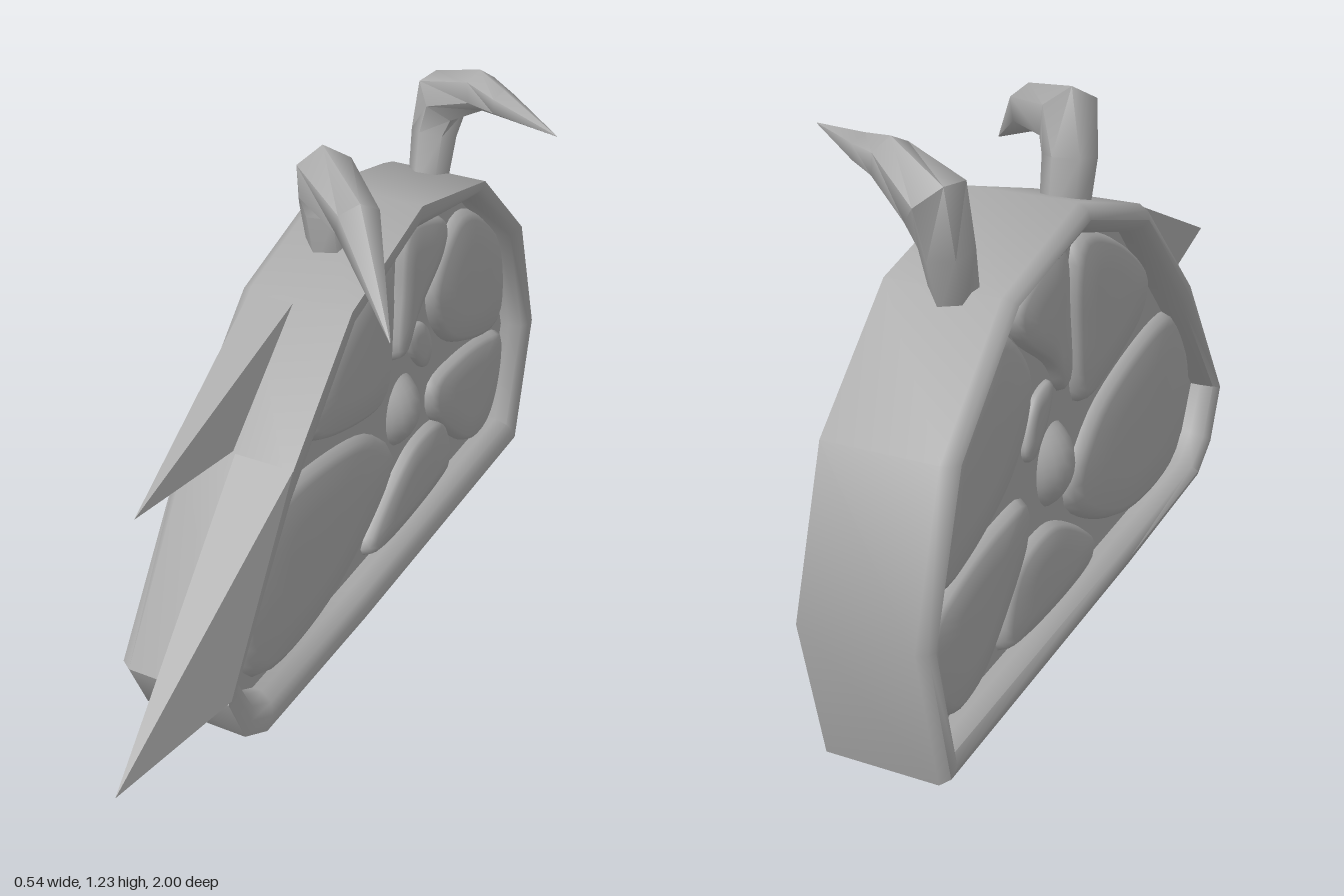
import * as THREE from 'three';
import { toCreasedNormals } from 'three/addons/utils/BufferGeometryUtils.js';

const MID = -0.13; // middle of the slice's thickness

// Skin a list of equal-length rings; ring points run counter-clockwise about the loft direction.
function loft(rings, { wrap = false, crease = 0.9 } = {}) {
  const n = rings[0].length, pos = [], index = [];
  rings.forEach(r => r.forEach(p => pos.push(p.x, p.y, p.z)));
  const spans = wrap ? rings.length : rings.length - 1;
  for (let i = 0; i < spans; i++) {
    const a0 = i * n, b0 = ((i + 1) % rings.length) * n;
    for (let j = 0; j < n; j++) {
      const k = (j + 1) % n;
      index.push(a0 + j, a0 + k, b0 + k, a0 + j, b0 + k, b0 + j);
    }
  }
  if (!wrap) {
    [0, rings.length - 1].forEach(i => {
      const c = rings[i].reduce((s, p) => s.add(p), new THREE.Vector3()).divideScalar(n);
      const ci = pos.length / 3;
      pos.push(c.x, c.y, c.z);
      for (let j = 0; j < n; j++) {
        const a = i * n + j, b = i * n + (j + 1) % n;
        if (i === 0) index.push(ci, b, a); else index.push(ci, a, b);
      }
    });
  }
  const g = new THREE.BufferGeometry();
  g.setAttribute('position', new THREE.Float32BufferAttribute(pos, 3));
  g.setIndex(index);
  return toCreasedNormals(g, crease);
}

// Outlines as [z, y]
const OUTER = [[-0.26, 1.02], [0.09, 0.91], [0.4, 0.62], [0.67, 0.22], [0.61, 0.08], [0.515, 0.02],
  [0.03, 0.003], [-0.917, 0], [-1, 0.35], [-0.885, 0.695], [-0.623, 0.936]];
const INNER = [[-0.26, 0.95], [0.06, 0.85], [0.345, 0.555], [0.6, 0.245], [0.54, 0.13], [0.46, 0.08],
  [0, 0.075], [-0.87, 0.075], [-0.94, 0.35], [-0.825, 0.685], [-0.59, 0.9]];

const CELLS = [
  [[0.43, 0.51], [0.33, 0.545], [-0.07, 0.475], [-0.19, 0.39], [-0.24, 0.33], [-0.22, 0.27], [0.1, 0.1], [0.44, 0.1], [0.515, 0.185], [0.54, 0.29]],
  [[0.22, 0.68], [0.17, 0.74], [-0.02, 0.865], [-0.19, 0.915], [-0.22, 0.85], [-0.22, 0.715], [-0.19, 0.53], [-0.135, 0.51], [0.17, 0.595], [0.215, 0.645]],
  [[-0.285, 0.935], [-0.39, 0.925], [-0.515, 0.86], [-0.495, 0.795], [-0.34, 0.675], [-0.27, 0.585], [-0.245, 0.595], [-0.255, 0.77]],
  [[-0.565, 0.84], [-0.67, 0.825], [-0.865, 0.645], [-0.89, 0.41], [-0.82, 0.39], [-0.555, 0.49], [-0.45, 0.61], [-0.435, 0.7]],
  [[-0.455, 0.41], [-0.605, 0.42], [-0.82, 0.38], [-0.905, 0.34], [-0.89, 0.18], [-0.82, 0.09], [-0.715, 0.09], [-0.58, 0.185], [-0.445, 0.34]],
  [[-0.08, 0.12], [-0.26, 0.26], [-0.365, 0.295], [-0.525, 0.265], [-0.58, 0.11], [-0.5, 0.085], [-0.1, 0.09]],
  [[-0.32, 0.635], [-0.405, 0.625], [-0.455, 0.515], [-0.425, 0.48], [-0.34, 0.56]],
];

// Ring at depth x, blended from the outer to the inner outline
const rimRing = (t, x) => OUTER.map(([z, y], i) => new THREE.Vector3(
  x, THREE.MathUtils.lerp(y, INNER[i][1], t), THREE.MathUtils.lerp(z, INNER[i][0], t)));

// Rounded pillow that shows on both faces of the slice
function cellGeometry(points, half) {
  const curve = new THREE.CatmullRomCurve3(points.map(([z, y]) => new THREE.Vector3(0, y, z)), true);
  const outline = curve.getSpacedPoints(40).slice(0, 40);
  if (THREE.ShapeUtils.area(outline.map(p => new THREE.Vector2(-p.z, p.y))) < 0) outline.reverse();
  const c = outline.reduce((s, p) => s.add(p), new THREE.Vector3()).divideScalar(outline.length);
  const profile = [[-1, 0.5], [-0.96, 0.87], [-0.88, 0.95], [-0.7, 1], [0.7, 1], [0.88, 0.95], [0.96, 0.87], [1, 0.5]];
  return loft(profile.map(([h, s]) => outline.map(p => {
    const q = p.clone().sub(c).multiplyScalar(s).add(c);
    q.x = MID + h * half;
    return q;
  })), { crease: 1.2 });
}

// Tapering bent horn through [x, y, z, radius] stations
function hornGeometry(stations, sides = 6) {
  const pts = stations.map(s => new THREE.Vector3(s[0], s[1], s[2]));
  const ref = new THREE.Vector3(0.7, 0, -0.7);
  return loft(pts.map((p, i) => {
    const t = pts[Math.min(i + 1, pts.length - 1)].clone().sub(pts[Math.max(i - 1, 0)]).normalize();
    const u = t.clone().cross(ref).normalize(), v = t.clone().cross(u);
    return Array.from({ length: sides }, (_, j) => {
      const a = j / sides * Math.PI * 2, r = stations[i][3];
      return p.clone().addScaledVector(u, Math.cos(a) * r).addScaledVector(v, Math.sin(a) * r);
    });
  }), { crease: 1.1 });
}

// Four-sided thorn: base spans x0..x1 between a low and a high [y, z], ending in a tip
function thornGeometry(x0, x1, low, high, tip) {
  const base = [[x0, ...low], [x1, ...low], [x1, ...high], [x0, ...high]].map(p => new THREE.Vector3(...p));
  return loft([base, base.map(() => new THREE.Vector3(...tip))], { crease: 0.5 });
}

export function createModel() {
  const group = new THREE.Group();
  group.name = 'hornedSlice';
  const grey = new THREE.MeshStandardMaterial({ color: 0xaaaaaa });
  grey.name = 'plain grey';
  const add = (name, geometry) => {
    const m = new THREE.Mesh(geometry, grey);
    m.name = name;
    group.add(m);
    return m;
  };

  // Rind: a band with a sharp left edge and a rounded right edge
  add('rind', loft([
    rimRing(0.5, -0.275), rimRing(0.2, -0.268), rimRing(0, -0.245), rimRing(0, 0.015),
    rimRing(0.45, 0.015), rimRing(0.8, 0.002), rimRing(1, -0.03),
    rimRing(1, -0.23), rimRing(0.8, -0.262),
  ], { wrap: true }));

  // Recessed membrane between the cells
  add('membrane', loft([rimRing(0.98, MID - 0.075), rimRing(0.98, MID + 0.075)]));

  // Pulp cells and the seed at the hub
  CELLS.forEach((c, i) => add('pulpCell' + (i + 1), cellGeometry(c, i === 6 ? 0.095 : 0.108)));
  const seed = add('seed', new THREE.SphereGeometry(1, 24, 16));
  seed.scale.set(0.125, 0.125, 0.1);
  seed.position.set(MID, 0.42, -0.297);

  // Thorns on the front slope
  add('upperThorn', thornGeometry(-0.245, -0.13, [0.655, 0.3], [0.905, 0.09], [-0.188, 0.655, 0.68]));
  add('lowerThorn', thornGeometry(-0.13, 0.017, [0.225, 0.66], [0.655, 0.37], [-0.057, 0.2, 1]));

  // Bent horns on top
  add('frontHorn', hornGeometry([[-0.145, 0.92, -0.11, 0.055], [-0.15, 1.06, -0.09, 0.062],
    [-0.135, 1.14, -0.065, 0.075], [0.01, 1.115, 0.055, 0.055], [0.195, 0.967, 0.262, 0.001]]));
  add('backHorn', hornGeometry([[-0.135, 0.9, -0.6, 0.05], [-0.14, 1.03, -0.645, 0.058],
    [-0.125, 1.125, -0.66, 0.072], [0.0, 1.18, -0.61, 0.05], [0.08, 1.175, -0.565, 0.035],
    [0.265, 1.175, -0.445, 0.001]]));

  return group;
}
